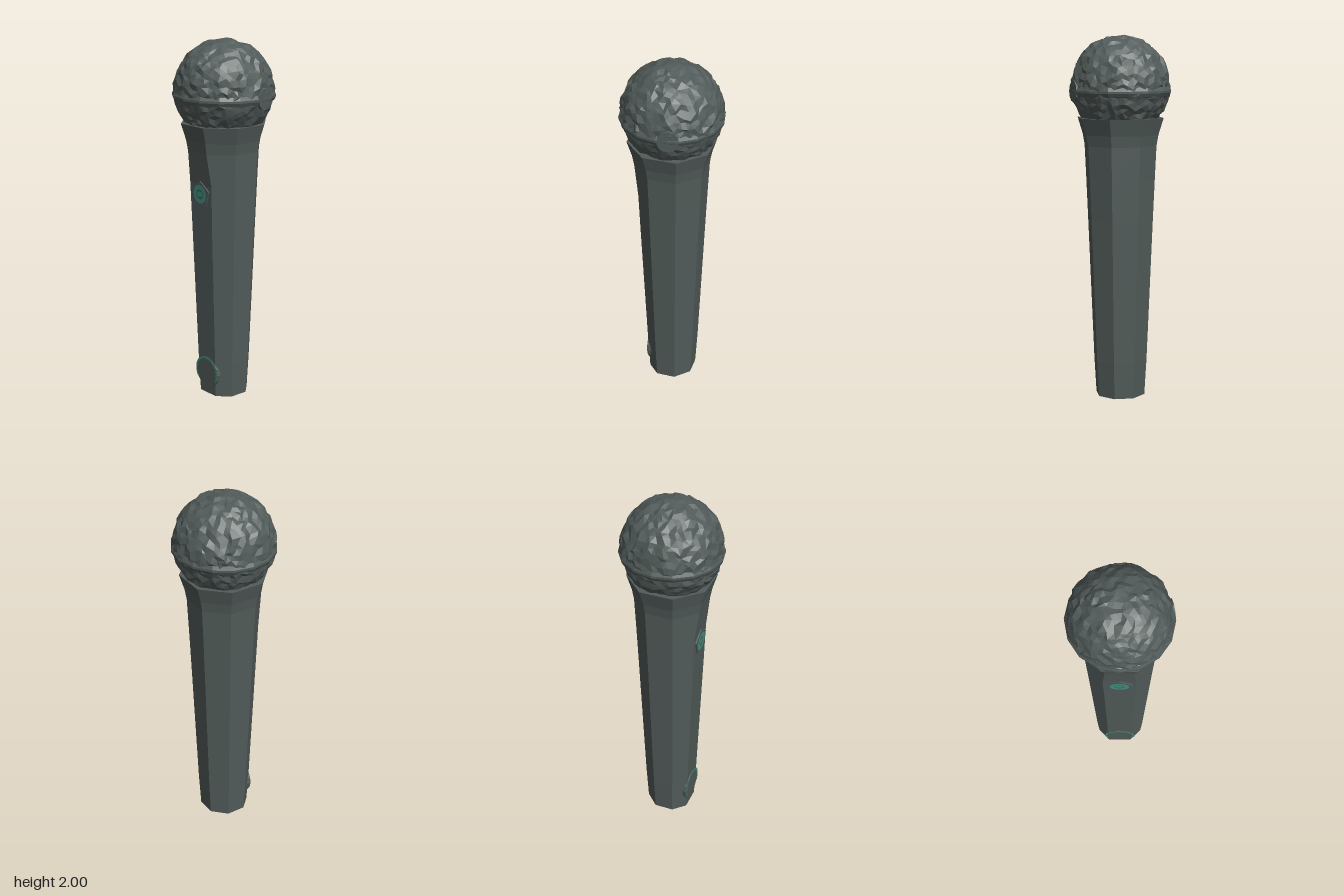
import * as THREE from 'three';
import { mergeVertices } from 'three/addons/utils/BufferGeometryUtils.js';

const makeMaterial = (name, color) => {
  const m = new THREE.MeshStandardMaterial({ color, flatShading: true });
  m.name = name;
  return m;
};

// Small seeded generator for the rough grille
function seeded(seed) {
  return () => {
    seed = (seed * 16807) % 2147483647;
    return seed / 2147483647;
  };
}

// Eight-sided tapered handle with a shaved front: rows of [y, half width, front z]
function handleGeometry() {
  const rows = [
    [0, 0.128, 0.116], [0.2, 0.139, 0.125], [1.0, 0.17, 0.156], [1.22, 0.179, 0.163],
    [1.4, 0.187, 0.187], [1.46, 0.197, 0.197], [1.55, 0.223, 0.223],
  ];
  const n = 8, pos = [], index = [];
  for (const [y, half, front] of rows) {
    const r = half / Math.cos(Math.PI / n);
    for (let i = 0; i < n; i++) {
      const a = ((i + 0.5) / n) * Math.PI * 2;
      let x = Math.sin(a) * r, z = Math.cos(a) * r;
      if (z > front) {
        x += Math.sign(x) * (z - front);
        z = front;
      }
      pos.push(x, y, z);
    }
  }
  for (let j = 0; j < rows.length - 1; j++) {
    for (let i = 0; i < n; i++) {
      const a = j * n + i, b = j * n + ((i + 1) % n);
      index.push(a, b, b + n, a, b + n, a + n);
    }
  }
  // End caps
  const top = (rows.length - 1) * n;
  for (let i = 1; i < n - 1; i++) {
    index.push(0, i + 1, i, top, top + i, top + i + 1);
  }
  const g = new THREE.BufferGeometry();
  g.setAttribute('position', new THREE.Float32BufferAttribute(pos, 3));
  g.setIndex(index);
  g.computeVertexNormals();
  return g;
}

// Ball with every point jittered, giving a crumpled mesh surface
function grilleGeometry(radius) {
  let g = new THREE.IcosahedronGeometry(radius, 9);
  g.deleteAttribute('uv');
  g.deleteAttribute('normal');
  g = mergeVertices(g, 1e-4);
  const rand = seeded(4271), p = g.attributes.position, v = new THREE.Vector3();
  for (let i = 0; i < p.count; i++) {
    v.fromBufferAttribute(p, i);
    v.x += (rand() - 0.5) * 0.018;
    v.y += (rand() - 0.5) * 0.018;
    v.z += (rand() - 0.5) * 0.018;
    v.setLength(radius - 0.018 * rand());
    p.setXYZ(i, v.x, v.y, v.z);
  }
  g.computeVertexNormals();
  return g;
}

export function createModel() {
  const model = new THREE.Group();
  const grey = makeMaterial('dark grey', 0x525c5a);
  const teal = makeMaterial('teal', 0x3f9482);

  const add = (parent, name, geometry, material, x = 0, y = 0, z = 0) => {
    const mesh = new THREE.Mesh(geometry, material);
    mesh.name = name;
    mesh.position.set(x, y, z);
    parent.add(mesh);
    return mesh;
  };
  // Disc facing +z, its back buried in the handle
  const disc = (r, depth, sides, turn = 0) =>
    new THREE.CylinderGeometry(r, r, depth, sides, 1, false, turn)
      .rotateX(Math.PI / 2).translate(0, 0, -depth / 2);

  add(model, 'handle', handleGeometry(), grey);
  add(model, 'grille', grilleGeometry(0.278), grey, 0, 1.722, 0);

  // Band around the ball and its round side plate
  const bandProfile = [[0.25, -0.035], [0.27, -0.025], [0.28, -0.006], [0.28, 0.006], [0.27, 0.025], [0.25, 0.035]]
    .map(([x, y]) => new THREE.Vector2(x, y));
  add(model, 'grilleBand', new THREE.LatheGeometry(bandProfile, 16), grey, 0, 1.695, 0);
  const plate = add(model, 'sidePlate', disc(0.058, 0.02, 12), grey, 0.267, 1.695, -0.06);
  plate.rotation.y = Math.PI / 2 + 0.22;

  // Switch: five-sided base with a ring and a centre dot
  const button = new THREE.Group();
  button.name = 'switch';
  button.position.set(0, 1.17, 0.162);
  button.rotation.x = 0.03;
  model.add(button);
  add(button, 'switchBase', disc(0.074, 0.02, 5, Math.PI), grey, 0, 0, 0.007);
  add(button, 'switchRing', new THREE.RingGeometry(0.028, 0.052, 16), teal, 0, 0, 0.009);
  add(button, 'switchDot', new THREE.CircleGeometry(0.019, 10).scale(1.2, 0.8, 1), teal, 0, 0, 0.009);

  // Round badge near the foot with a thin rim
  const badge = new THREE.Group();
  badge.name = 'badge';
  badge.position.set(0, 0.13, 0.123);
  badge.rotation.x = 0.045;
  model.add(badge);
  add(badge, 'badgeDisc', disc(0.092, 0.03, 16), grey, 0, 0, 0.003);
  add(badge, 'badgeRim', new THREE.RingGeometry(0.08, 0.092, 24, 1, -0.5, Math.PI + 1), teal, 0, 0, 0.005);

  return model;
}
